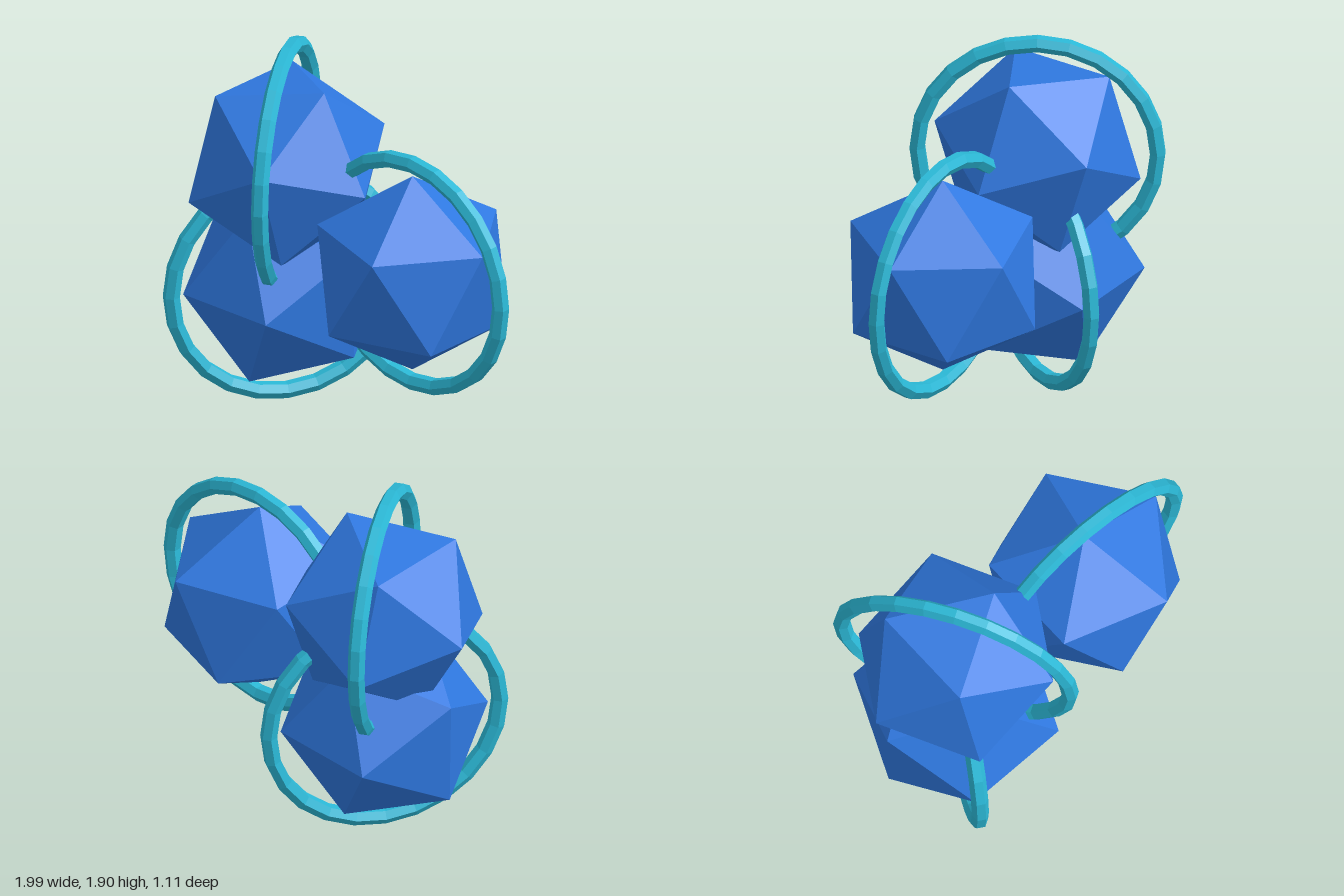
import * as THREE from 'three';

export function createModel() {
  const blue = new THREE.MeshStandardMaterial({ color: 0x2f78e0 });
  blue.name = 'blue';
  const teal = new THREE.MeshStandardMaterial({ color: 0x2bb8d6 });
  teal.name = 'teal';

  // Faceted core with one vertex pointing straight up
  const coreGeometry = new THREE.IcosahedronGeometry(0.525, 0);
  coreGeometry.rotateZ(-Math.atan(2 / (1 + Math.sqrt(5))));

  // Six-sided ring with a flat outer band, lying in the xy plane
  const profile = [];
  for (let i = 0; i <= 6; i++) {
    const a = -Math.PI / 6 + (i % 6) * Math.PI / 3;
    profile.push(new THREE.Vector2(0.59 + 0.043 * Math.cos(a), 0.043 * Math.sin(a)));
  }
  const ringGeometry = new THREE.LatheGeometry(profile, 24).rotateX(Math.PI / 2).toNonIndexed();
  ringGeometry.computeVertexNormals();

  // Three ringed cores: position, roll of the core, turn of the ring
  const cells = [
    { name: 'rightCell', x: 0.368, y: 0.957, roll: 0, turn: 0 },
    { name: 'upperCell', x: -0.474, y: 1.277, roll: -0.5, turn: -Math.PI / 3 },
    { name: 'lowerCell', x: -0.474, y: 0.635, roll: -1, turn: Math.PI / 3 },
  ];

  const model = new THREE.Group();
  model.name = 'ringedCluster';
  for (const { name, x, y, roll, turn } of cells) {
    const cell = new THREE.Group();
    cell.name = name;
    cell.position.set(x, y, 0);

    const core = new THREE.Mesh(coreGeometry, blue);
    core.name = 'core';
    core.rotation.z = roll;

    const ring = new THREE.Mesh(ringGeometry, teal);
    ring.name = 'ring';
    ring.rotation.y = turn;

    cell.add(core, ring);
    model.add(cell);
  }
  return model;
}
